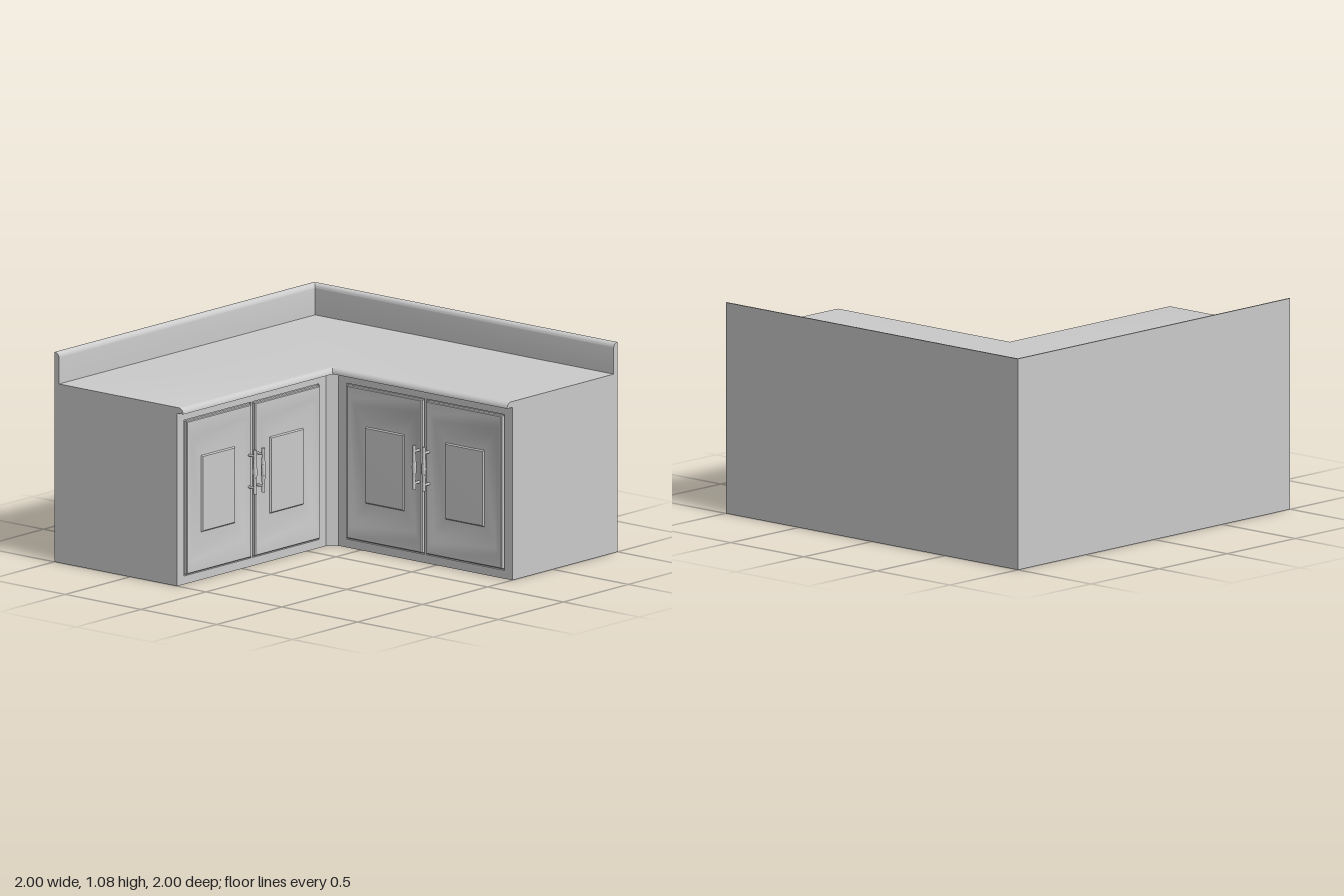
import * as THREE from 'three';
import { toCreasedNormals } from 'three/addons/utils/BufferGeometryUtils.js';

const grey = new THREE.MeshStandardMaterial({ color: 0xcccccc, side: THREE.DoubleSide });

function add(parent, name, geometry, x = 0, y = 0, z = 0) {
  const mesh = new THREE.Mesh(geometry, grey);
  mesh.name = name;
  mesh.position.set(x, y, z);
  parent.add(mesh);
  return mesh;
}

// Joins rows of points [x, y, z] into a surface; closed rows wrap around, and the last can be capped.
function loft(rows, closed, capped) {
  const n = rows[0].length;
  const index = [];
  for (let r = 0; r < rows.length - 1; r++) {
    for (let i = 0; i < (closed ? n : n - 1); i++) {
      const j = (i + 1) % n;
      const a = r * n + i, b = r * n + j, c = b + n, d = a + n;
      index.push(a, b, c, a, c, d);
    }
  }
  if (capped) {
    const s = (rows.length - 1) * n;
    index.push(s, s + 1, s + 2, s, s + 2, s + 3);
  }
  const geo = new THREE.BufferGeometry();
  geo.setAttribute('position', new THREE.Float32BufferAttribute(rows.flat(2), 3));
  geo.setIndex(index);
  return toCreasedNormals(geo, 0.5);
}

// Cross-section as [distance from the outer wall, height]
function counterProfile() {
  const p = [[0, 0], [0, 1.08]];
  const arc = (cx, cy, rx, ry) => {
    for (let i = 0; i <= 6; i++) {
      const t = (i / 6) * Math.PI / 2;
      p.push([cx + rx * Math.sin(t), cy + ry * Math.cos(t)]);
    }
  };
  arc(0.005, 1.055, 0.025, 0.025); // rounded top of the backsplash
  p.push([0.03, 0.92]);
  arc(0.82, 0.89, 0.03, 0.03); // rounded worktop edge
  p.push([0.81, 0.89]);
  return p;
}

function rectangle(path, x0, y0, x1, y1) {
  path.moveTo(x0, y0).lineTo(x1, y0).lineTo(x1, y1).lineTo(x0, y1).closePath();
  return path;
}

// Panelled door: nested rectangles [half width, half height, depth]
function doorGeometry() {
  const rings = [
    [0.249, 0.393, -0.01], [0.249, 0.393, 0.008], [0.245, 0.389, 0.012],
    [0.228, 0.331, 0.012], [0.2, 0.294, 0.002],
    [0.128, 0.197, 0.003], [0.123, 0.191, 0.01],
  ];
  return loft(rings.map(([w, h, z]) => [[-w, -h, z], [w, -h, z], [w, h, z], [-w, h, z]]), true, true);
}

function createHandle(name) {
  const handle = new THREE.Group();
  handle.name = name;
  const profile = [[0, -0.114], [0.009, -0.114], [0.009, -0.09], [0.0075, -0.075], [0.01, -0.04], [0.0125, 0],
    [0.01, 0.04], [0.0075, 0.075], [0.009, 0.09], [0.009, 0.114], [0, 0.114]];
  const bar = new THREE.LatheGeometry(profile.map(([r, y]) => new THREE.Vector2(r, y)), 12);
  add(handle, 'handleBar', toCreasedNormals(bar, 0.6), 0, 0, 0.05);
  for (const y of [-0.082, 0.082]) {
    const post = add(handle, 'handlePost', new THREE.CylinderGeometry(0.007, 0.007, 0.04, 10), 0, y, 0.03);
    post.rotation.x = Math.PI / 2;
  }
  return handle;
}

// One run of cabinets: frame with two openings, compartments, doors and handles
function createCabinetRun(name) {
  const run = new THREE.Group();
  run.name = name;
  const bottom = 0.043, top = 0.845, middle = (bottom + top) / 2;
  const w = 0.514, offset = 0.263;

  const shape = rectangle(new THREE.Shape(), -0.5725, 0, 0.5725, 0.89);
  for (const s of [-1, 1]) {
    shape.holes.push(rectangle(new THREE.Path(), s * offset - w / 2, bottom, s * offset + w / 2, top));
  }
  add(run, 'cabinetFrame', new THREE.ExtrudeGeometry(shape, { depth: 0.01, bevelEnabled: false }), 0, 0, -0.01);

  const door = doorGeometry();
  for (const s of [-1, 1]) {
    const side = s < 0 ? 'first' : 'second';
    add(run, side + 'Compartment', new THREE.BoxGeometry(w, top - bottom, 0.76), s * offset, middle, -0.39);
    add(run, side + 'Door', door, s * offset, middle, 0);
    const handle = createHandle(side + 'Handle');
    handle.position.set(s * 0.032, 0.497, 0);
    run.add(handle);
  }
  return run;
}

export function createModel() {
  const model = new THREE.Group();
  model.name = 'cornerCounter';

  // Outer walls, backsplash and worktop swept around the corner
  const profile = counterProfile();
  const stations = [
    profile.map(([d, y]) => [-1, y, -1 + d]),
    profile.map(([d, y]) => [1 - d, y, -1 + d]),
    profile.map(([d, y]) => [1 - d, y, 1]),
  ];
  add(model, 'worktopAndWalls', loft(stations, false, false));

  // End panels
  const endShape = (s) => new THREE.ShapeGeometry(
    new THREE.Shape([...profile, [0.81, 0]].map(([d, y]) => new THREE.Vector2(s * d, y))));
  add(model, 'frontEndPanel', endShape(-1), 1, 0, 1);
  add(model, 'sideEndPanel', endShape(1), -1, 0, -1).rotation.y = -Math.PI / 2;

  // Cabinets along both inner faces
  const back = createCabinetRun('backCabinets');
  back.position.set(-0.4275, 0, -0.19);
  const left = createCabinetRun('leftCabinets');
  left.position.set(0.19, 0, 0.4275);
  left.rotation.y = -Math.PI / 2;
  model.add(back, left);

  // Angled filler in the inner corner
  const filler = add(model, 'cornerFiller', new THREE.PlaneGeometry(0.045 * Math.SQRT2, 0.89), 0.1675, 0.445, -0.1675);
  filler.rotation.y = -Math.PI / 4;

  return model;
}
